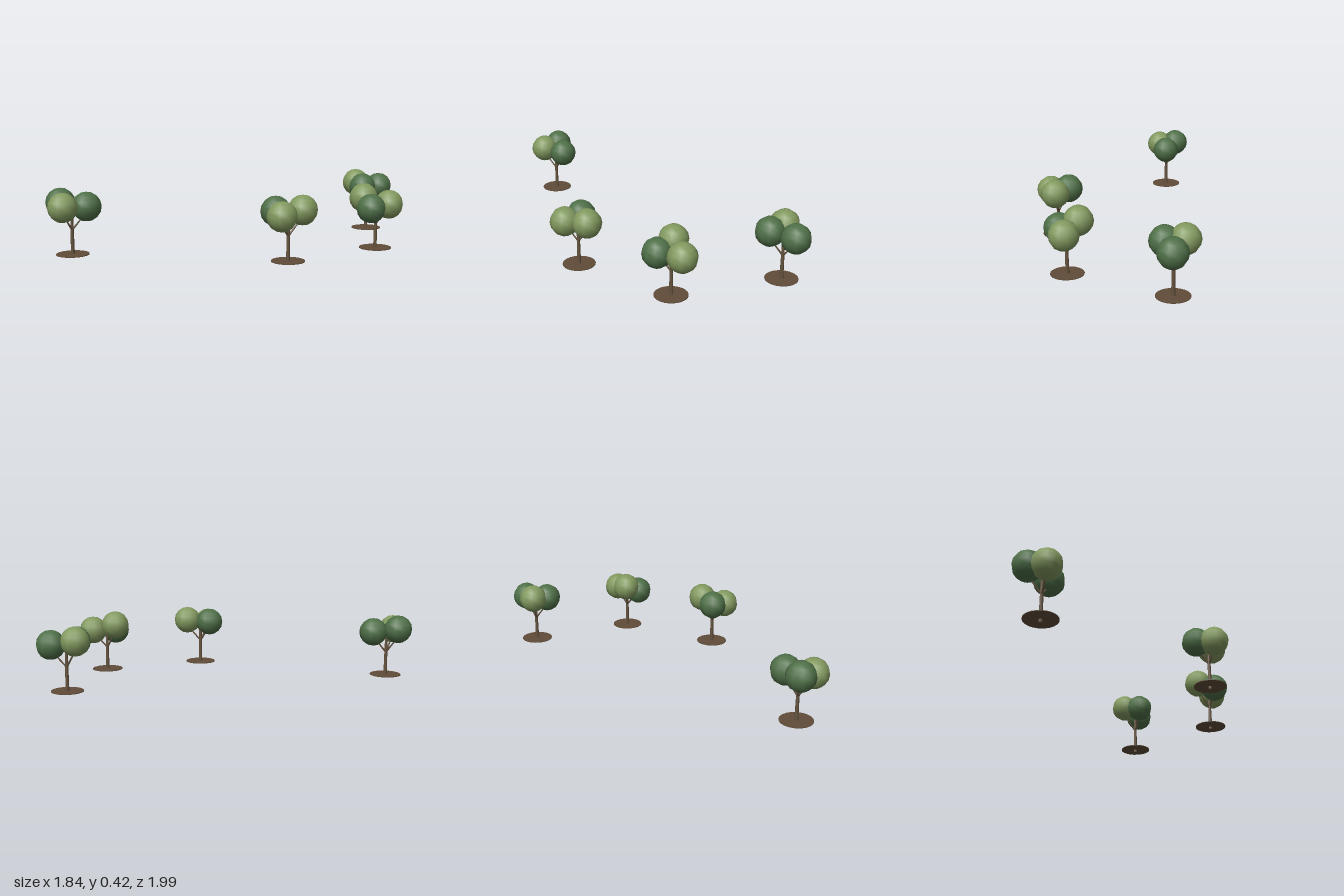
import * as THREE from 'three';

const material = (name, color, extra = {}) => {
  const m = new THREE.MeshStandardMaterial({ color, ...extra });
  m.name = name;
  return m;
};

export function createModel() {
  const bark = material('bark', 0x66543f);
  const soil = material('soil', 0x604c38);
  const light = material('lightLeaf', 0x82995f);
  const dark = material('darkLeaf', 0x4f7048);

  const crownGeo = new THREE.SphereGeometry(0.09, 10, 8);
  const trunkGeo = new THREE.CylinderGeometry(0.009, 0.012, 0.25, 8);
  const soilGeo = new THREE.CylinderGeometry(0.1, 0.1, 0.004, 24);

  const add = (parent, name, geo, mat, x, y, z) => {
    const mesh = new THREE.Mesh(geo, mat);
    mesh.name = name;
    mesh.position.set(x, y, z);
    parent.add(mesh);
    return mesh;
  };

  // Crown offsets from the trunk: right, front, left
  const offsets = [[-0.083, 0], [0, 0.08], [0.058, -0.07]];
  // Each tree: position, then crown heights and leaf colours
  const trees = [
    { x: -0.748, z: 0.83, heights: [0.325, 0.31, 0.302], leaves: [dark, light, dark] },
    { x: 0.467, z: 0.37, heights: [0.305, 0.29, 0.312], leaves: [dark, light, light] },
    { x: 0.77, z: -0.235, heights: [0.325, 0.274, 0.284], leaves: [light, dark, light] },
    { x: 0.467, z: -0.843, heights: [0.331, 0.314, 0.304], leaves: [light, dark, dark] },
  ];

  const model = new THREE.Group();
  model.name = 'treeGroup';
  for (const t of trees) {
    const tree = new THREE.Group();
    tree.name = 'tree';
    tree.position.set(t.x, 0, t.z);
    model.add(tree);
    add(tree, 'soilDisc', soilGeo, soil, 0, 0.018, 0);
    add(tree, 'trunk', trunkGeo, bark, 0, 0.125, 0);

    offsets.forEach(([dx, dz], i) => {
      add(tree, 'crown', crownGeo, t.leaves[i], dx, t.heights[i], dz);
      // Branch leaning from the trunk into the crown
      const from = new THREE.Vector3(0, 0.165, 0);
      const to = new THREE.Vector3(dx * 0.8, 0.25, dz * 0.8);
      const dir = to.clone().sub(from);
      const mid = from.clone().add(to).multiplyScalar(0.5);
      const geo = new THREE.CylinderGeometry(0.004, 0.006, dir.length(), 6);
      const branch = add(tree, 'branch', geo, bark, mid.x, mid.y, mid.z);
      branch.quaternion.setFromUnitVectors(new THREE.Vector3(0, 1, 0), dir.normalize());
    });
  }
  return model;
}
